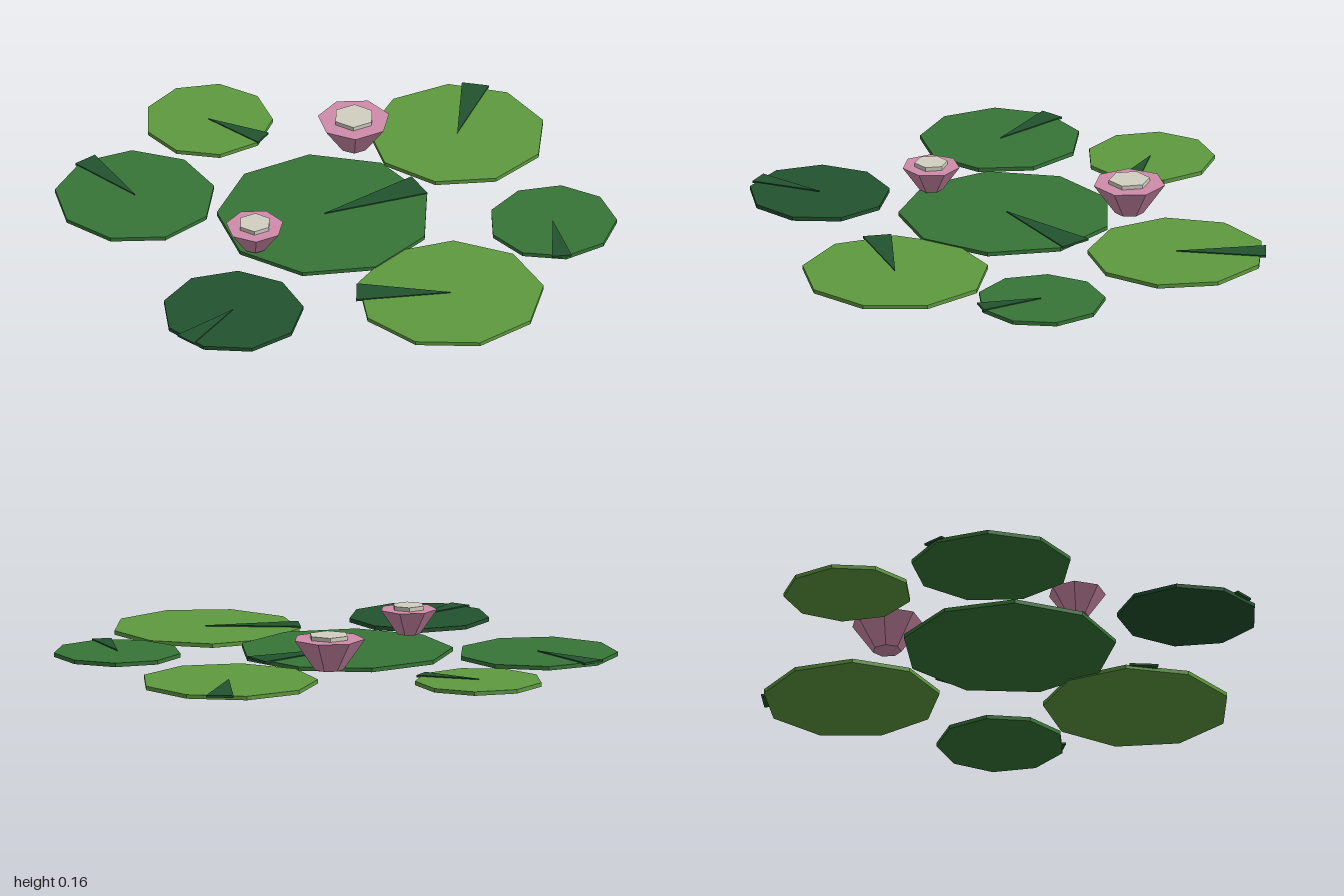
import * as THREE from 'three';

const flat = (color, name) => {
  const m = new THREE.MeshStandardMaterial({ color, flatShading: true });
  m.name = name;
  return m;
};

export function createModel() {
  const light = flat(0x5e9a3f, 'light green');
  const mid = flat(0x377537, 'mid green');
  const dark = flat(0x22532f, 'dark green');
  const pink = flat(0xd08cab, 'petal pink');
  const cream = flat(0xd2cfc1, 'cream');
  const model = new THREE.Group();
  model.name = 'lilyPads';

  const add = (parent, name, geometry, material, y = 0) => {
    const mesh = new THREE.Mesh(geometry, material);
    mesh.name = name;
    mesh.position.y = y;
    parent.add(mesh);
    return mesh;
  };

  // Nine-sided pad with a dark wedge; angles run from +x towards +z
  const THICK = 0.015;
  const rad = THREE.MathUtils.degToRad;
  function pad(name, x, z, r, y, turn, notch, material) {
    const group = new THREE.Group();
    group.name = name;
    group.position.set(x, y, z);
    const leaf = add(group, 'leaf', new THREE.CylinderGeometry(r, r, THICK, 9), material, THICK / 2);
    leaf.rotation.y = Math.PI / 2 - rad(turn) - Math.PI;
    leaf.rotation.y = -rad(turn) - Math.PI / 2; // first corner starts on +z

    const shape = new THREE.Shape();
    shape.moveTo(0, 0);
    shape.lineTo(r, -r * 0.155);
    shape.lineTo(r, r * 0.155);
    shape.closePath();
    const wedge = new THREE.ExtrudeGeometry(shape, { depth: 0.008, bevelEnabled: false });
    wedge.rotateX(-Math.PI / 2);
    add(group, 'notch', wedge, dark, THICK - 0.004).rotation.y = -rad(notch);
    model.add(group);
  }

  pad('centrePad', -0.08, -0.02, 0.395, 0.005, -10, 0, mid);
  pad('frontPad', 0.084, 0.65, 0.345, 0, 0, 209, light);
  pad('backPad', -0.157, -0.776, 0.236, 0, 8, 60, light);
  pad('backLeftPad', 0.602, -0.262, 0.327, 0, -7.5, -50, light);
  pad('backRightPad', -0.633, -0.458, 0.296, 0.004, -4, -100, mid);
  pad('frontLeftPad', 0.635, 0.415, 0.236, 0.004, 6, 110, mid);
  pad('frontRightPad', -0.674, 0.375, 0.26, 0.002, 2.5, 160, dark);

  // Seven-sided flaring blossom with a six-sided heart
  function flower(name, x, z, r, h) {
    const group = new THREE.Group();
    group.name = name;
    group.position.set(x, 0.028, z);
    const cup = add(group, 'petals', new THREE.CylinderGeometry(r, r * 0.4, h, 7), pink, h / 2);
    cup.rotation.y = Math.PI;
    const heart = add(group, 'heart', new THREE.CylinderGeometry(r * 0.57, r * 0.57, 0.03, 6), cream, h);
    heart.rotation.y = Math.PI / 2;
    model.add(group);
  }
  flower('largeFlower', 0.222, -0.355, 0.134, 0.115);
  flower('smallFlower', -0.413, 0.06, 0.107, 0.092);

  return model;
}
